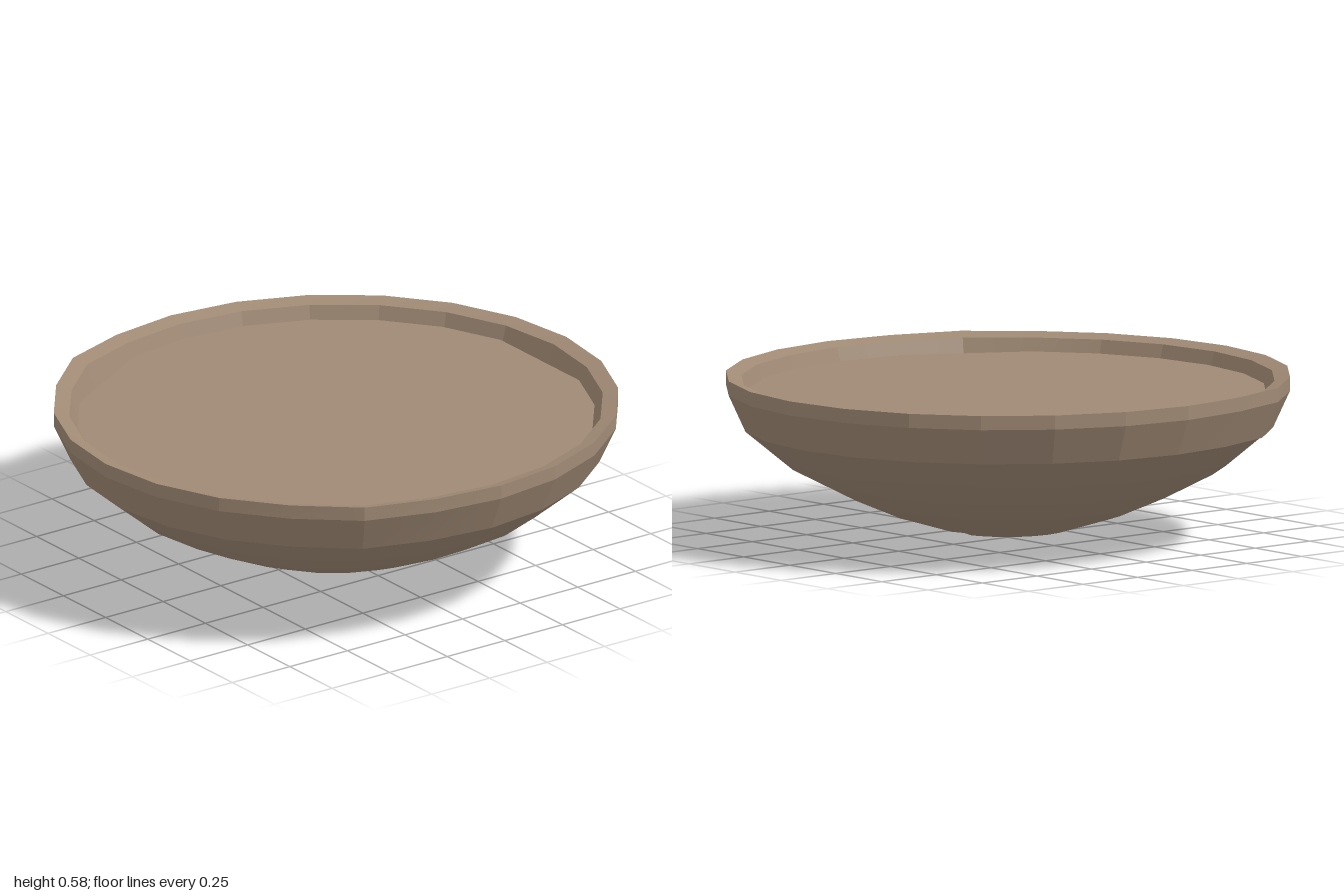
import * as THREE from 'three';
import { toCreasedNormals } from 'three/addons/utils/BufferGeometryUtils.js';

const SIDES = 24;
const BACK = SIDES / 2; // side index pointing to -z
const CORNERS = [4, SIDES - 4]; // clipped corners near the front

// Point on a slightly oval ring; side 0 points to +z
function ringPoint(r, y, i) {
  const a = (i / SIDES) * Math.PI * 2;
  return [Math.sin(a) * r * 0.98, y, Math.cos(a) * r];
}

// Skin between rings, profile listed so that faces point outward
function skin(profile, adjust) {
  const pos = [], index = [];
  for (const [r, y] of profile) {
    for (let i = 0; i < SIDES; i++) {
      const [k, dy] = adjust(i, r);
      pos.push(...ringPoint(r * k, y + dy, i));
    }
  }
  for (let j = 0; j < profile.length - 1; j++) {
    for (let i = 0; i < SIDES; i++) {
      const n = (i + 1) % SIDES;
      const a = j * SIDES + i, b = j * SIDES + n;
      const c = a + SIDES, d = b + SIDES;
      index.push(a, b, d, a, d, c);
    }
  }
  const g = new THREE.BufferGeometry();
  g.setAttribute('position', new THREE.Float32BufferAttribute(pos, 3));
  g.setIndex(index);
  g.computeVertexNormals();
  return g;
}

export function createModel() {
  const group = new THREE.Group();
  const clay = new THREE.MeshStandardMaterial({ color: 0xa08a75, side: THREE.DoubleSide });
  clay.name = 'clay';

  const add = (name, geometry) => {
    const mesh = new THREE.Mesh(geometry, clay);
    mesh.name = name;
    group.add(mesh);
  };

  // Faceted rim: underside, flared outside, top edge, inner wall
  const rim = skin(
    [[0.89, 0.4], [0.94, 0.4], [1, 0.53], [1, 0.58], [0.945, 0.565], [0.89, 0.4]],
    (i) => [CORNERS.includes(i) ? 1.018 : 1, 0]
  );
  add('rim', toCreasedNormals(rim, 0.2));

  // Rounded underside, pulled in a little at the back
  const bowl = skin(
    [[0, 0], [0.22, 0.034], [0.42, 0.095], [0.59, 0.168], [0.77, 0.26], [0.94, 0.4]],
    (i, r) => (i === BACK && r > 0.1 ? [0.945, 0.008] : [1, 0])
  );
  add('bowl', bowl);

  // Flat surface inside the rim, with a few corners cut straight
  const outline = new THREE.Shape();
  const points = [];
  for (let i = 0; i < SIDES; i++) {
    if (i === BACK || CORNERS.includes(i)) continue;
    const [x, , z] = ringPoint(0.916, 0, i);
    points.push(new THREE.Vector2(x, -z));
  }
  outline.setFromPoints(points);
  const surface = new THREE.ShapeGeometry(outline);
  surface.rotateX(-Math.PI / 2);
  surface.translate(0, 0.52, 0);
  add('innerSurface', surface);

  return group;
}
